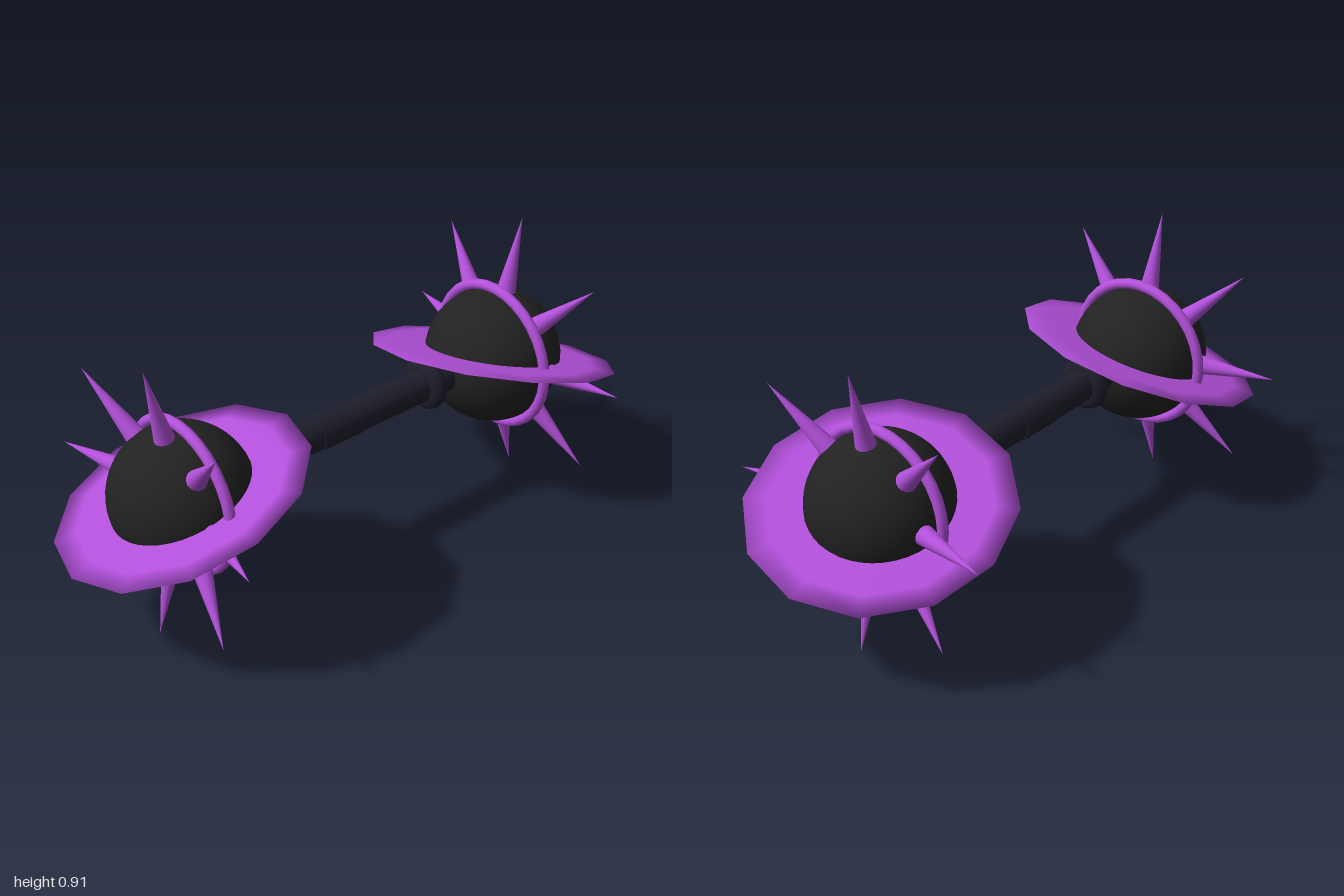
import * as THREE from 'three';

const purple = new THREE.MeshStandardMaterial({ color: 0xb250da });
purple.name = 'violet';
const black = new THREE.MeshStandardMaterial({ color: 0x222222 });
black.name = 'charcoal black';
const navy = new THREE.MeshStandardMaterial({ color: 0x1e1e2b });
navy.name = 'dark navy';

const CY = 0.457;      // height of the bar axis
const BALL_Z = 0.618;  // distance of each ball from the middle
const TIP_R = 0.453;   // reach of the spikes

function add(parent, name, geometry, material) {
  const mesh = new THREE.Mesh(geometry, material);
  mesh.name = name;
  parent.add(mesh);
  return mesh;
}

// Cone whose axis runs from its base centre to its tip
function spike(parent, base, tip) {
  const axis = tip.clone().sub(base);
  const mesh = add(parent, 'spike', new THREE.ConeGeometry(0.032, axis.length(), 16), purple);
  mesh.position.copy(base).addScaledVector(axis, 0.5);
  mesh.quaternion.setFromUnitVectors(new THREE.Vector3(0, 1, 0), axis.normalize());
}

// One ball with its hoop, spikes and tilted disc; s is +1 at the front, -1 at the back
function weightEnd(s) {
  const end = new THREE.Group();
  end.name = s > 0 ? 'frontWeight' : 'backWeight';
  end.position.set(0, CY, s * BALL_Z);
  add(end, 'ball', new THREE.SphereGeometry(0.219, 40, 28), black);
  add(end, 'hoop', new THREE.TorusGeometry(0.235, 0.017, 12, 32), purple);

  // Eight spikes leaning outwards
  for (let i = 0; i < 8; i++) {
    const a = (i * Math.PI) / 4;
    const c = Math.cos(a), d = Math.sin(a);
    spike(end,
      new THREE.Vector3(c * 0.203, d * 0.203, s * 0.047),
      new THREE.Vector3(c * TIP_R, d * TIP_R, s * 0.106));
  }

  // Thin twelve-sided disc, tapering to its rim
  const profile = [[0.18, -0.007], [0.33, -0.006], [0.4, 0], [0.33, 0.006], [0.18, 0.007]]
    .map(([x, y]) => new THREE.Vector2(x, y));
  const disc = add(end, 'tiltedDisc', new THREE.LatheGeometry(profile, 12), purple);
  const normal = new THREE.Vector3(-0.175, 1, s * 0.316).normalize();
  const corner = new THREE.Vector3(-0.01, -0.122, s * 0.38);
  const side = new THREE.Vector3().crossVectors(normal, corner).normalize();
  corner.crossVectors(side, normal);
  disc.quaternion.setFromRotationMatrix(new THREE.Matrix4().makeBasis(side, normal, corner));
  return end;
}

export function createModel() {
  const model = new THREE.Group();
  model.name = 'spikedDumbbell';

  // Handle
  const bar = add(model, 'bar', new THREE.CylinderGeometry(0.053, 0.053, 0.9, 24), navy);
  bar.rotation.x = Math.PI / 2;
  bar.position.y = CY;
  const grip = add(model, 'gripSleeve', new THREE.CylinderGeometry(0.057, 0.057, 0.15, 24), navy);
  grip.rotation.x = Math.PI / 2;
  grip.position.set(0, CY, 0.05);

  for (const s of [1, -1]) {
    // Rounded collar near each ball
    const collar = add(model, 'collar', new THREE.TorusGeometry(0.056, 0.029, 12, 28), navy);
    collar.position.set(0, CY, s * 0.328);
    model.add(weightEnd(s));
  }
  return model;
}
